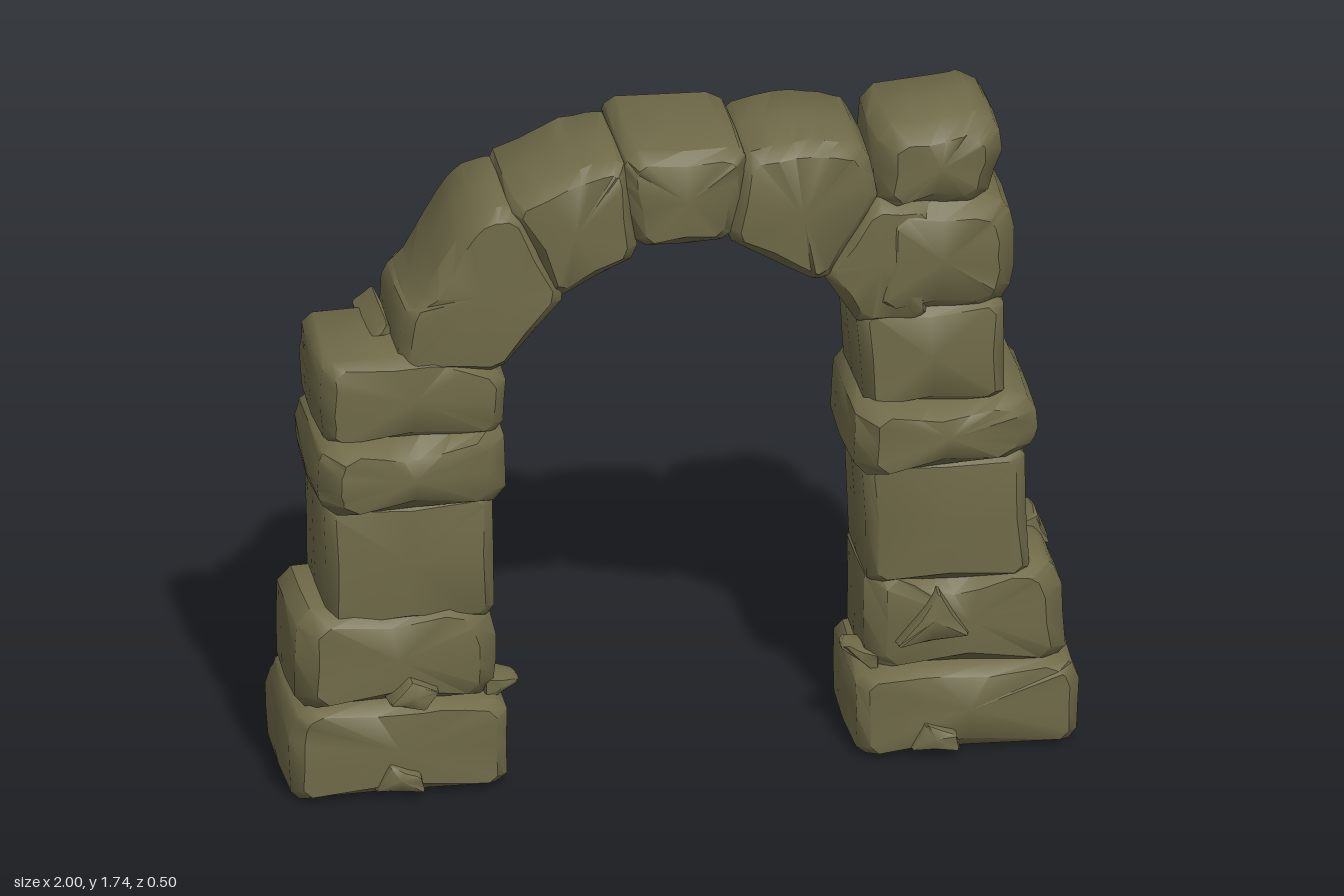
import * as THREE from 'three';
import { toCreasedNormals } from 'three/addons/utils/BufferGeometryUtils.js';

const mossyStone = new THREE.MeshStandardMaterial({ color: 0x6f6a48 });
mossyStone.name = 'mossyStone';

// Small seeded generator for hewn irregularity
let seed = 7;
const jitter = (amount) => {
  seed = (seed * 16807) % 2147483647;
  return (seed / 2147483647 - 0.5) * 2 * amount;
};

// Cut each corner of an outline and add the middle of each edge
function wornOutline(points, cut) {
  const pts = points.map(([x, y]) => new THREE.Vector2(x, y));
  if (THREE.ShapeUtils.area(pts) < 0) pts.reverse();
  const out = [];
  pts.forEach((p, i) => {
    const prev = pts[(i + pts.length - 1) % pts.length];
    const next = pts[(i + 1) % pts.length];
    const step = (q) => p.clone().lerp(q, Math.min(0.3, cut / p.distanceTo(q)));
    out.push(step(prev), step(next), p.clone().lerp(next, 0.5));
  });
  return out;
}

// Hewn block: an outline in x, y carried through depth, with worn front and back edges.
// front and back give z at the low-x and high-x ends.
function stone(name, points, front = [0.175, 0.175], back = [-0.175, -0.175],
  { bevel = 0.035, cut = 0.022, rough = 0.005 } = {}) {
  const outline = wornOutline(points, cut);
  const n = outline.length;
  const box = new THREE.Box2().setFromPoints(outline);
  const c = box.getCenter(new THREE.Vector2());
  const zAt = (range, x) => THREE.MathUtils.lerp(range[0], range[1],
    (x - box.min.x) / (box.max.x - box.min.x));
  const position = [];
  const index = [];
  const rings = [0, 1, 2, 3, 4];
  for (const r of rings) {
    const inset = r === 0 || r === 4 ? bevel : r === 2 ? 0 : 0.004;
    for (const p of outline) {
      const f = zAt(front, p.x);
      const b = zAt(back, p.x);
      const z = [f, f - bevel, (f + b) / 2, b + bevel, b][r];
      const q = p.clone().lerp(c, Math.min(0.45, inset / p.distanceTo(c)));
      position.push(q.x + jitter(rough) * 0.5, q.y + jitter(rough) * 0.5, z + jitter(rough));
    }
  }
  for (let r = 0; r < 4; r++) {
    for (let i = 0; i < n; i++) {
      const a = r * n + i;
      const b = r * n + (i + 1) % n;
      index.push(a, a + n, b, b, a + n, b + n);
    }
  }
  // Slightly swollen front and back faces
  const mid = 5 * n;
  position.push(c.x, c.y, zAt(front, c.x) + 0.008, c.x, c.y, zAt(back, c.x) - 0.008);
  for (let i = 0; i < n; i++) {
    const j = (i + 1) % n;
    index.push(mid, i, j, mid + 1, 4 * n + j, 4 * n + i);
  }
  const g = new THREE.BufferGeometry();
  g.setAttribute('position', new THREE.Float32BufferAttribute(position, 3));
  g.setIndex(index);
  const mesh = new THREE.Mesh(toCreasedNormals(g, 0.75), mossyStone);
  mesh.name = name;
  return mesh;
}

export function createModel() {
  seed = 7;
  const model = new THREE.Group();
  model.name = 'stoneArch';
  const group = (name, ...meshes) => {
    const g = new THREE.Group();
    g.name = name;
    g.add(...meshes);
    model.add(g);
  };
  const bold = { bevel: 0.055, cut: 0.035 };
  const chip = { bevel: 0.008, cut: 0.005, rough: 0.004 };

  // Right pillar (low x), from the ground up
  group('rightPillar',
    stone('rightBase', [[-0.995, 0.01], [-0.445, 0.015], [-0.445, 0.24], [-0.62, 0.27], [-0.97, 0.265], [-1, 0.2]],
      [0.2, 0.2], [-0.2, -0.19]),
    stone('rightLowerStone', [[-0.985, 0.25], [-0.47, 0.24], [-0.46, 0.44], [-0.53, 0.53], [-0.98, 0.52]],
      [0.2, 0.18], [-0.17, -0.18], bold),
    stone('rightShaftStone', [[-0.9, 0.46], [-0.47, 0.46], [-0.475, 0.82], [-0.91, 0.82]],
      [0.175, 0.165], [-0.17, -0.17]),
    stone('rightBandStone', [[-0.915, 0.79], [-0.44, 0.78], [-0.445, 0.99], [-0.7, 0.99], [-0.91, 1.0], [-0.94, 0.9]],
      [0.24, 0.19], [-0.19, -0.24], bold),
    stone('rightShoulderStone', [[-0.91, 0.97], [-0.45, 0.97], [-0.44, 1.13], [-0.6, 1.21], [-0.91, 1.2], [-0.92, 1.08]],
      [0.18, 0.17], [-0.18, -0.18]),
    stone('shoulderChip', [[-0.78, 1.19], [-0.7, 1.18], [-0.72, 1.24]], [0.02, 0.02], [-0.2, -0.2], chip),
    stone('rightInnerSpur', [[-0.5, 0.22], [-0.4, 0.255], [-0.41, 0.27], [-0.5, 0.29]], [0.14, 0.1], [0, 0.04], chip),
    stone('rightFrontSpur', [[-0.76, 0.28], [-0.66, 0.25], [-0.62, 0.3], [-0.7, 0.34]], [0.235, 0.22], [0.1, 0.1], chip));

  // Left pillar (high x), from the ground up
  group('leftPillar',
    stone('leftBase', [[0.43, 0.015], [0.995, 0.015], [1, 0.2], [0.96, 0.24], [0.6, 0.25], [0.43, 0.23]],
      [0.2, 0.2], [-0.19, -0.2]),
    stone('leftLowerStone', [[0.46, 0.22], [0.975, 0.22], [0.96, 0.46], [0.9, 0.52], [0.62, 0.48], [0.46, 0.52]],
      [0.165, 0.185], [-0.175, -0.185], bold),
    stone('leftShaftStone', [[0.465, 0.46], [0.88, 0.46], [0.865, 0.82], [0.45, 0.82]],
      [0.165, 0.175], [-0.17, -0.17]),
    stone('leftBandStone', [[0.42, 0.79], [0.87, 0.79], [0.915, 0.89], [0.86, 0.98], [0.66, 0.97], [0.43, 0.995]],
      [0.235, 0.19], [-0.21, -0.25], bold),
    stone('leftUpperStone', [[0.455, 0.95], [0.815, 0.95], [0.815, 1.24], [0.435, 1.24]],
      [0.165, 0.17], [-0.17, -0.17]),
    stone('leftShoulderStone', [[0.46, 1.2], [0.8, 1.2], [0.845, 1.28], [0.845, 1.45], [0.8, 1.52], [0.5, 1.53]],
      [0.18, 0.18], [-0.19, -0.19], bold),
    stone('leftCapStone', [[0.48, 1.49], [0.77, 1.49], [0.825, 1.66], [0.77, 1.745], [0.7, 1.745], [0.49, 1.72]],
      [0.175, 0.175], [-0.18, -0.17], bold),
    stone('leftInnerSpur', [[0.5, 0.21], [0.405, 0.28], [0.42, 0.29], [0.5, 0.27]], [0.1, 0.14], [0.04, 0], chip),
    stone('leftOuterSpur', [[0.86, 0.42], [0.965, 0.45], [0.93, 0.535], [0.86, 0.5]], [-0.05, -0.05], [-0.17, -0.15], chip),
    stone('leftFrontFlake', [[0.53, 0.31], [0.72, 0.33], [0.64, 0.46]], [0.2, 0.195], [0.12, 0.12], chip));

  // Arch ring, each stone sharing its joints with the next
  const archFront = [0.175, 0.175];
  const archBack = [-0.185, -0.185];
  group('archRing',
    stone('rightSpringer', [[-0.72, 1.15], [-0.46, 1.13], [-0.29, 1.34], [-0.41, 1.59], [-0.49, 1.595], [-0.56, 1.53],
      [-0.67, 1.34], [-0.71, 1.31]], [0.165, 0.175], archBack),
    stone('rightHaunch', [[-0.32, 1.32], [-0.11, 1.43], [-0.135, 1.68], [-0.17, 1.7], [-0.28, 1.68], [-0.45, 1.6]],
      archFront, [-0.185, -0.18]),
    stone('keystone', [[-0.12, 1.45], [0.12, 1.455], [0.17, 1.67], [0.14, 1.715], [-0.14, 1.715], [-0.155, 1.65]],
      [0.18, 0.185], [-0.22, -0.195]),
    stone('leftHaunch', [[0.1, 1.46], [0.31, 1.33], [0.36, 1.31], [0.5, 1.52], [0.47, 1.67], [0.42, 1.695], [0.3, 1.715],
      [0.15, 1.69]], [0.18, 0.17], archBack),
    stone('leftSpringer', [[0.34, 1.34], [0.45, 1.18], [0.62, 1.18], [0.64, 1.52], [0.48, 1.54]],
      [0.165, 0.175], [-0.19, -0.19]));

  // Broken chips at the foot of both pillars, front and back
  for (const side of [-1, 1]) {
    const x = side < 0 ? -0.72 : 0.63;
    const outline = [[x - 0.07, 0.03], [x + 0.06, 0.035], [x + 0.05, 0.08], [x - 0.03, 0.11]];
    group(side < 0 ? 'rightFootChips' : 'leftFootChips',
      stone('frontChip', outline, [0.21, 0.235], [0.1, 0.1], chip),
      stone('backChip', outline, [-0.1, -0.1], [-0.21, -0.235], chip));
  }
  return model;
}
